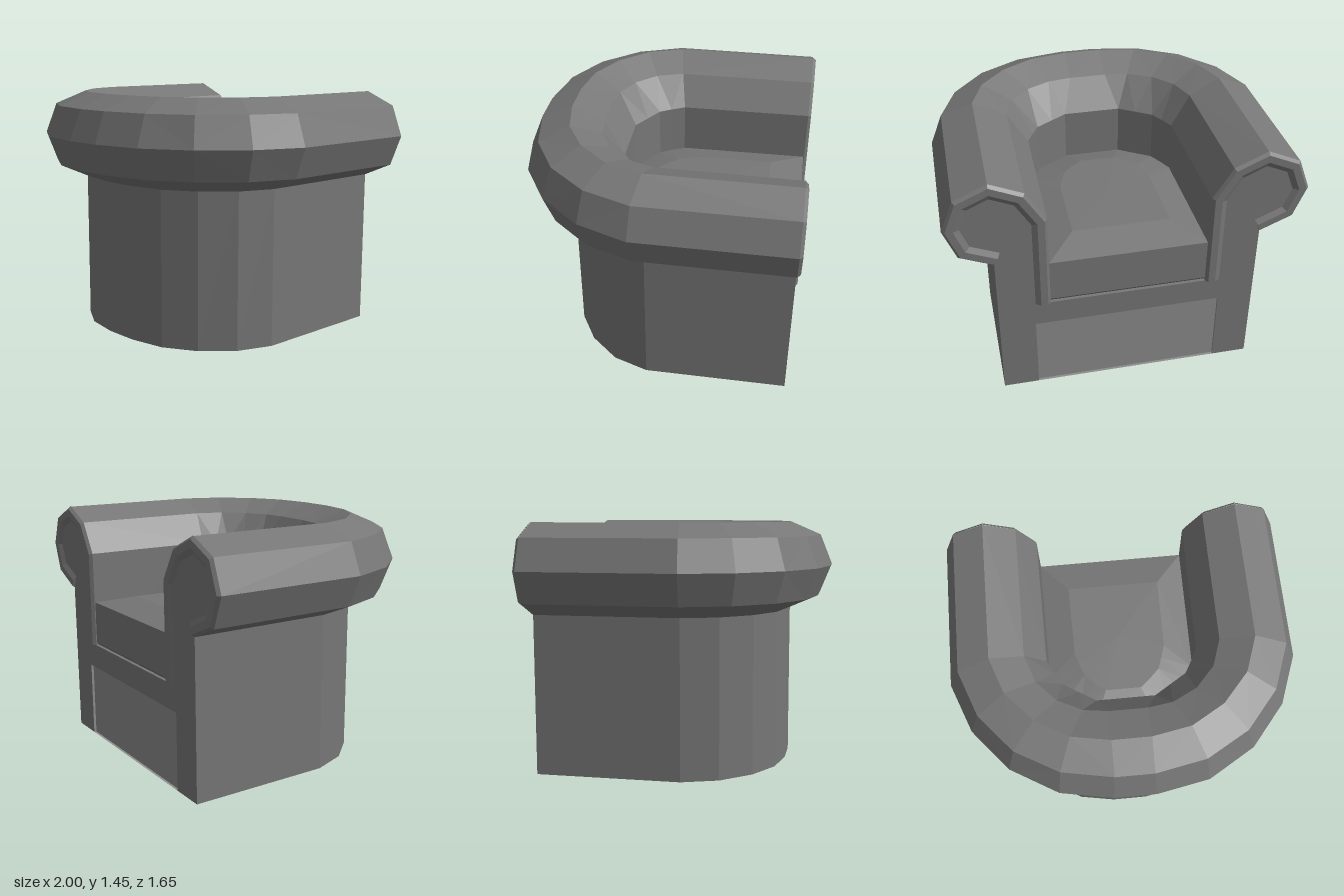
import * as THREE from 'three';

const FRONT = -0.807; // z of the seat-opening face
const SEAT = 0.61;    // height of the front rail

const leather = new THREE.MeshStandardMaterial({ color: 0x777777, flatShading: true });
const panel = new THREE.MeshStandardMaterial({ color: 0x8c8c8c, flatShading: true, side: THREE.DoubleSide });

// Half plan curves [x, z], from the arm front round to the middle of the back
const CROWN = [[0.745, FRONT], [0.745, 0.04], [0.67, 0.25], [0.52, 0.42], [0.33, 0.53], [0.11, 0.57]];
const SHOULDER = [[0.93, FRONT], [0.93, 0.07], [0.83, 0.34], [0.645, 0.56], [0.4, 0.7], [0.11, 0.755]];
const WIDEST = [[1, FRONT], [1, 0.08], [0.89, 0.37], [0.69, 0.61], [0.42, 0.77], [0.12, 0.827]];
const INNER_SLOPE = [[0.56, FRONT], [0.555, 0.01], [0.5, 0.17], [0.39, 0.29], [0.25, 0.36], [0.11, 0.38]];
const INNER = [[0.45, FRONT], [0.44, -0.02], [0.4, 0.06], [0.36, 0.13], [0.265, 0.19], [0.17, 0.25]];

// Arm end outline [x, y], from the foot of the inner side over the roll
const ARM_END = [[0.45, SEAT], [0.45, 1.19], [0.56, 1.37], [0.745, 1.453],
  [0.93, 1.37], [1, 1.19], [0.93, 1.01], [0.745, 0.93]];

const mirror = (half) => [...half, ...half.slice().reverse().map(([x, z]) => [-x, z])];
const atHeight = (half, y) => mirror(half).map(([x, z]) => [x, y, z]);

// Skin over rows of points, each quad split along its shorter diagonal
function loft(rows, closed = false) {
  const n = rows[0].length;
  const points = rows.flat();
  const gap = (i, j) => Math.hypot(...points[i].map((v, k) => v - points[j][k]));
  const index = [];
  for (let r = 0; r < rows.length - 1; r++) {
    for (let s = 0; s < (closed ? n : n - 1); s++) {
      const t = (s + 1) % n;
      const a = r * n + s, b = a + n, c = r * n + t, d = c + n;
      if (gap(b, c) <= gap(a, d)) index.push(a, b, c, b, d, c);
      else index.push(a, b, d, a, d, c);
    }
  }
  const geometry = new THREE.BufferGeometry();
  geometry.setAttribute('position', new THREE.Float32BufferAttribute(points.flat(), 3));
  geometry.setIndex(index);
  const faceted = geometry.toNonIndexed();
  faceted.computeVertexNormals();
  return faceted;
}

// Move an open outline to its right by d, with mitred corners
function inset(points, d) {
  const normals = points.slice(1).map(([x, y], i) => {
    const dx = x - points[i][0], dy = y - points[i][1], l = Math.hypot(dx, dy);
    return [dy / l, -dx / l];
  });
  return points.map(([x, y], i) => {
    const a = normals[Math.max(i - 1, 0)];
    const b = normals[Math.min(i, normals.length - 1)];
    const k = d / (1 + a[0] * b[0] + a[1] * b[1]);
    return [x + (a[0] + b[0]) * k, y + (a[1] + b[1]) * k];
  });
}

const toShape = (points) => new THREE.Shape(points.map(([x, y]) => new THREE.Vector2(x, y)));

// Raised, bevelled border round one arm end
function armTrimGeometry(side) {
  const profile = [[0, FRONT], [0.015, FRONT - 0.018], [0.055, FRONT - 0.018], [0.085, FRONT]];
  const rows = profile.map(([d, z]) => {
    const row = inset(ARM_END, d).map(([x, y]) => [side * x, y, z]);
    const first = [row[0][0], row[0][1], FRONT];
    const last = [row[row.length - 1][0], row[row.length - 1][1], FRONT];
    const capped = [first, ...row, last];
    return side > 0 ? capped.reverse() : capped;
  });
  return loft(rows);
}

export function createModel() {
  const chair = new THREE.Group();
  chair.name = 'armchair';
  const add = (name, geometry, material = leather) => {
    const mesh = new THREE.Mesh(geometry, material);
    mesh.name = name;
    chair.add(mesh);
  };

  // Outer wall, rolled arms and back, and inner wall in one sweep
  add('armsAndBack', loft([
    atHeight(CROWN, 0), atHeight(CROWN, 0.93), atHeight(SHOULDER, 1.01), atHeight(WIDEST, 1.19),
    atHeight(SHOULDER, 1.37), atHeight(CROWN, 1.45), atHeight(INNER_SLOPE, 1.37),
    atHeight(INNER, 1.19), atHeight(INNER, SEAT),
  ]));

  // Underside
  add('base', new THREE.ShapeGeometry(toShape(mirror(CROWN))).rotateX(Math.PI / 2));

  // Front face: legs, rail and arm ends, with a notch for the lower panel
  const notch = [[0.54, 0], [0.54, 0.46]];
  const halfFront = [...notch.slice().reverse(), [0.745, 0], ...ARM_END.slice().reverse()];
  const face = [...halfFront, ...halfFront.slice().reverse().map(([x, y]) => [-x, y])];
  add('frontFace', new THREE.ShapeGeometry(toShape(face)).rotateY(Math.PI).translate(0, 0, FRONT));

  // Lower front panel, set back slightly in its notch
  const rim = mirror(notch);
  const back = FRONT + 0.015;
  add('lowerPanel', loft([
    rim.map(([x, y]) => [x, y, FRONT]),
    rim.map(([x, y]) => [x, y, back]),
    rim.map(() => [0, 0.23, back]),
  ], true), panel);

  // Seat cushion with a gently crowned top, and a narrow groove above the rail
  const cushionRing = (y, lip) => mirror(INNER)
    .map(([x, z]) => [x, y, z === FRONT ? FRONT + lip : z]);
  const crownRing = mirror(INNER)
    .map(([x, z]) => [x * 0.63, 0.93, THREE.MathUtils.clamp(z - 0.14, -0.6, 0.1)]);
  add('seatCushion', loft([
    cushionRing(SEAT, 0), cushionRing(SEAT, 0.02), cushionRing(SEAT + 0.02, 0.005),
    cushionRing(0.885, 0.005), crownRing, crownRing.map(() => [0, 0.935, -0.25]),
  ], true));

  // Borders on the arm ends
  for (const side of [1, -1]) add('armTrim', armTrimGeometry(side));

  return chair;
}
